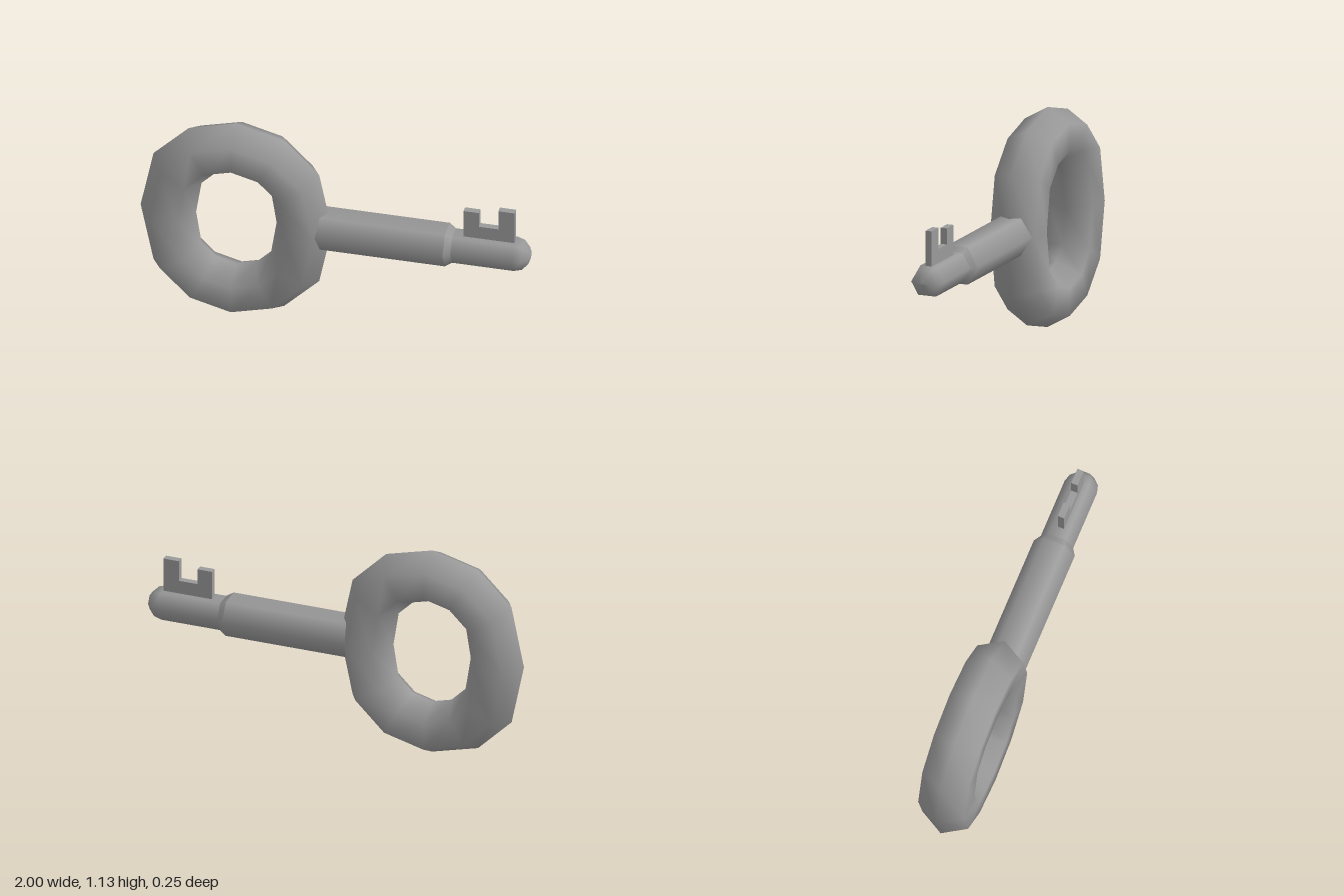
import * as THREE from 'three';
import { mergeVertices } from 'three/addons/utils/BufferGeometryUtils.js';

const material = new THREE.MeshStandardMaterial({ color: 0x9a9a9a });
const AXIS_Y = 0.574;

function part(name, geometry, parent) {
  const mesh = new THREE.Mesh(geometry, material);
  mesh.name = name;
  parent.add(mesh);
  return mesh;
}

// Six-sided turned piece lying along x; profile is [radius, x] pairs
function turned(name, profile, parent) {
  const points = profile.map(([r, x]) => new THREE.Vector2(r, x));
  const geometry = new THREE.LatheGeometry(points, 6).rotateZ(-Math.PI / 2);
  part(name, geometry, parent).position.y = AXIS_Y;
}

export function createModel() {
  const key = new THREE.Group();
  key.name = 'key';

  // Bow: coarse ring whose upper and lower halves are pulled apart
  const ring = new THREE.TorusGeometry(0.348, 0.142, 6, 12);
  const pos = ring.attributes.position;
  for (let i = 0; i < pos.count; i++) {
    const y = pos.getY(i);
    if (Math.abs(y) > 1e-4) pos.setY(i, y + Math.sign(y) * 0.076);
  }
  ring.deleteAttribute('uv');
  ring.deleteAttribute('normal');
  const bow = mergeVertices(ring);
  bow.computeVertexNormals();
  part('bow', bow, key).position.set(-0.51, 0.569, 0);

  // Shank in separate turned pieces, so the edges between them stay sharp
  const thick = 0.11, thin = 0.087;
  turned('shankEnd', [[0, -0.14], [thick, -0.14]], key);
  turned('shank', [[thick, -0.14], [thick, 0.57]], key);
  turned('collar', [[thick, 0.57], [thin, 0.605]], key);

  // Thin front section closing in a rounded nose
  const nose = [[thin, 0.605]];
  for (let i = 0; i <= 3; i++) {
    const a = (i / 3) * Math.PI / 2;
    nose.push([i === 3 ? 0 : thin * Math.cos(a), 0.92 + 0.08 * Math.sin(a)]);
  }
  turned('tip', nose, key);

  // Bit: flat plate with two teeth of different height
  const outline = [
    [0.657, 0.64], [0.917, 0.64], [0.917, 0.83], [0.835, 0.83],
    [0.835, 0.72], [0.735, 0.72], [0.735, 0.803], [0.657, 0.803],
  ].map(([x, y]) => new THREE.Vector2(x, y));
  const bit = new THREE.ExtrudeGeometry(new THREE.Shape(outline), { depth: 0.034, bevelEnabled: false });
  part('bit', bit.translate(0, 0, -0.017), key);

  return key;
}
